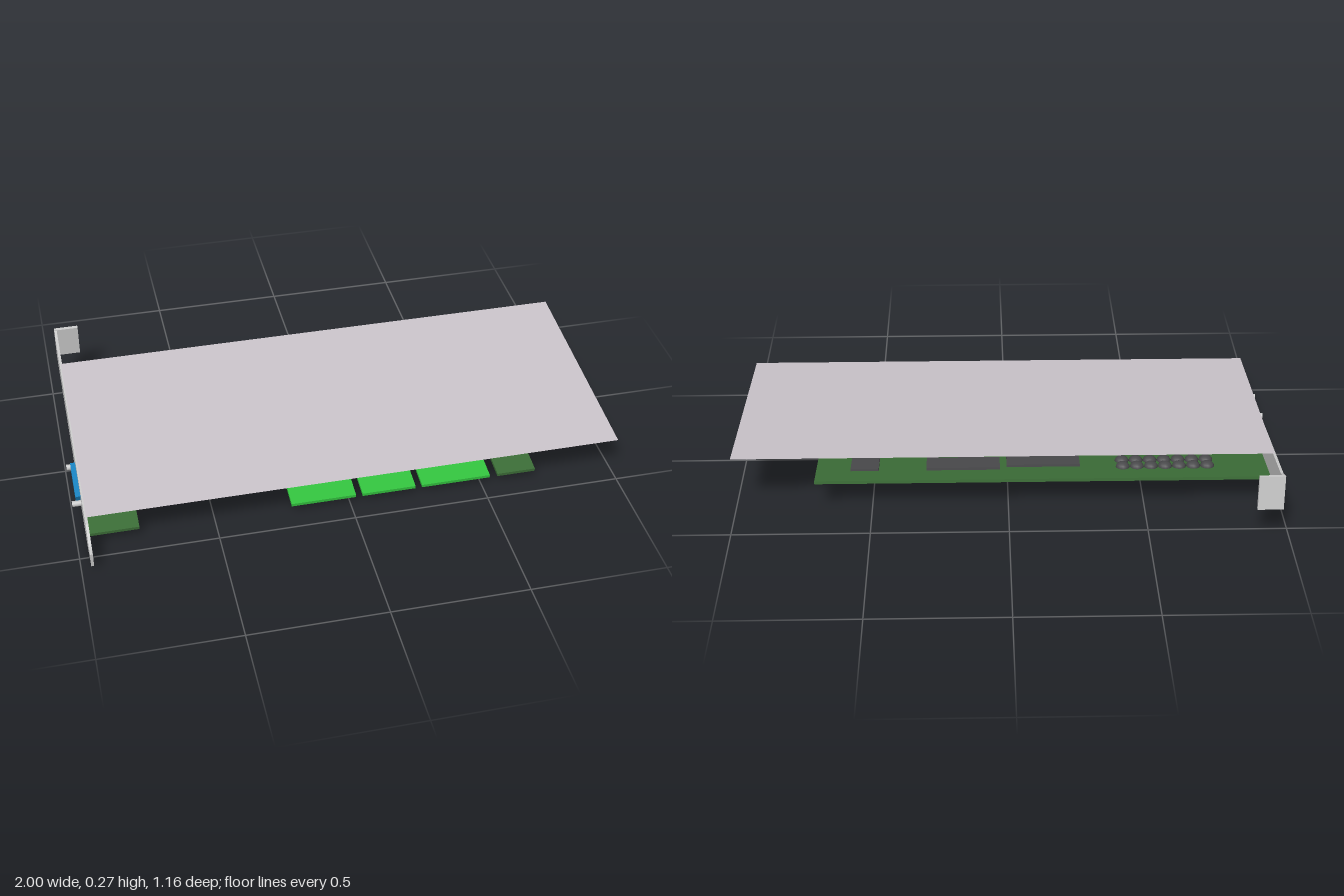
import * as THREE from 'three';

const mat = (color, side = THREE.FrontSide) => new THREE.MeshStandardMaterial({ color, side });
const GREY = mat(0xcccccc), BOARD = mat(0x3c6e37), CONTACT = mat(0x33c43f), DARK = mat(0x4a4a4c);
const BLUE = mat(0x1a86c4), TAN = mat(0xd8c98a), COVER = mat(0xcbc4cb, THREE.DoubleSide);

function add(parent, name, geometry, material, x = 0, y = 0, z = 0) {
  const mesh = new THREE.Mesh(geometry, material);
  mesh.name = name;
  mesh.position.set(x, y, z);
  parent.add(mesh);
  return mesh;
}

// Box given by its limits on each axis
function block(parent, name, material, [x0, x1], [y0, y1], [z0, z1]) {
  return add(parent, name, new THREE.BoxGeometry(x1 - x0, y1 - y0, z1 - z0), material,
    (x0 + x1) / 2, (y0 + y1) / 2, (z0 + z1) / 2);
}

// Flat slab from an outline of [x, z] points, standing on y = 0
function slab(points, height) {
  const shape = new THREE.Shape(points.map(([x, z]) => new THREE.Vector2(x, -z)));
  return new THREE.ExtrudeGeometry(shape, { depth: height, bevelEnabled: false }).rotateX(-Math.PI / 2);
}

export function createModel() {
  const model = new THREE.Group();
  model.name = 'expansionCard';

  // Everything but the cover leans back by the same angle
  const card = new THREE.Group();
  card.name = 'card';
  card.position.y = 0.088;
  card.rotation.x = Math.atan(0.1157);
  model.add(card);

  // Circuit board with a tab at each end of its front edge
  const edge = 0.33, tip = 0.425, top = 0.006;
  add(card, 'circuitBoard', slab([
    [-0.955, -0.36], [0.705, -0.36], [0.705, tip], [0.56, tip], [0.56, edge],
    [-0.775, edge], [-0.775, tip], [-0.955, tip],
  ], 0.012), BOARD, 0, -top, 0);

  // Edge contacts
  for (const span of [[-0.22, 0.02], [0.045, 0.245], [0.27, 0.53]]) {
    block(card, 'edgeContact', CONTACT, span, [-top, top], [edge, tip]);
  }

  // Mounting bracket: tapered tongue in front, bent flange behind
  const outline = [
    [0.467, -0.031], [0.532, 0.005], [0.575, 0.004], [0.575, 0.064], [0.537, 0.064],
    [0.466, 0.101], [-0.532, 0.104], [-0.582, 0.115], [-0.582, -0.014], [-0.535, -0.03],
  ];
  const bracketShape = new THREE.Shape(outline.map(([z, y]) => new THREE.Vector2(z, y)));
  const bracket = new THREE.ExtrudeGeometry(bracketShape, { depth: 0.01, bevelEnabled: false });
  add(card, 'bracket', bracket.rotateY(-Math.PI / 2), GREY, -0.955, 0, 0);
  block(card, 'bracketFlange', GREY, [-0.965, -0.873], [-0.014, 0.115], [-0.584, -0.571]);

  // Video socket through the bracket, with a screw post on either side
  block(card, 'socketBody', BLUE, [-0.955, -0.855], [top, 0.06], [0.1, 0.285]);
  const face = new THREE.Shape([[0.12, 0.016], [0.27, 0.016], [0.282, 0.054], [0.108, 0.054]]
    .map(([z, y]) => new THREE.Vector2(z, y)));
  add(card, 'socketShell', new THREE.ExtrudeGeometry(face, { depth: 0.03, bevelEnabled: false })
    .rotateY(-Math.PI / 2), BLUE, -0.953, 0, 0);
  for (const z of [0.11, 0.297]) {
    add(card, 'screwPost', new THREE.CylinderGeometry(0.011, 0.011, 0.05, 12).rotateZ(Math.PI / 2),
      GREY, -0.973, 0.036, z);
  }

  // Heat sink with zigzag front and back edges
  const zigzag = [], teeth = 5, x0 = -0.14, pitch = 0.092;
  for (let i = 0; i <= teeth * 2; i++) zigzag.push([x0 + i * pitch / 2, i % 2 ? 0.32 : 0.25]);
  for (let i = teeth * 2; i >= 0; i--) zigzag.push([x0 + i * pitch / 2, i % 2 ? -0.03 : -0.1]);
  add(card, 'heatSink', slab(zigzag, 0.024), TAN, 0, top, 0);

  // Tall capacitor and a small one
  const profile = [[0, 0], [0.036, 0], [0.036, 0.096], [0.03, 0.105], [0, 0.105]]
    .map(([r, y]) => new THREE.Vector2(r, y));
  const can = new THREE.LatheGeometry(profile, 10).toNonIndexed();
  can.computeVertexNormals();
  add(card, 'tallCapacitor', can, mat(0x8c8c8e), -0.272, top, 0.168);
  add(card, 'smallCapacitor', new THREE.CylinderGeometry(0.013, 0.013, 0.03, 12), GREY, -0.17, 0.021, 0.1);

  // Flat chips
  const chips = [
    [[0.475, 0.578], [-0.28, 0.06]],
    [[0.03, 0.3], [-0.28, -0.19]],
    [[-0.265, 0.005], [-0.26, -0.17]],
    [[-0.635, -0.315], [-0.1, 0.04]],
  ];
  for (const [xs, zs] of chips) block(card, 'chip', DARK, xs, [top, 0.015], zs);

  // Two rows of rounded coils
  const dome = new THREE.SphereGeometry(0.026, 12, 6, 0, Math.PI * 2, 0, Math.PI / 2);
  for (const z of [-0.265, -0.215]) {
    for (let i = 0; i < 7; i++) {
      add(card, 'coil', dome, DARK, -0.735 + i * 0.052, top, z).scale.y = 0.75;
    }
  }

  // Thin cover sheet, tilted a little less than the card
  const cover = add(model, 'coverSheet', new THREE.PlaneGeometry(1.96, Math.hypot(0.84, 0.07)), COVER, 0.02, 0.203, 0.055);
  cover.rotation.x = -Math.PI / 2 + Math.atan(0.07 / 0.84);

  return model;
}
